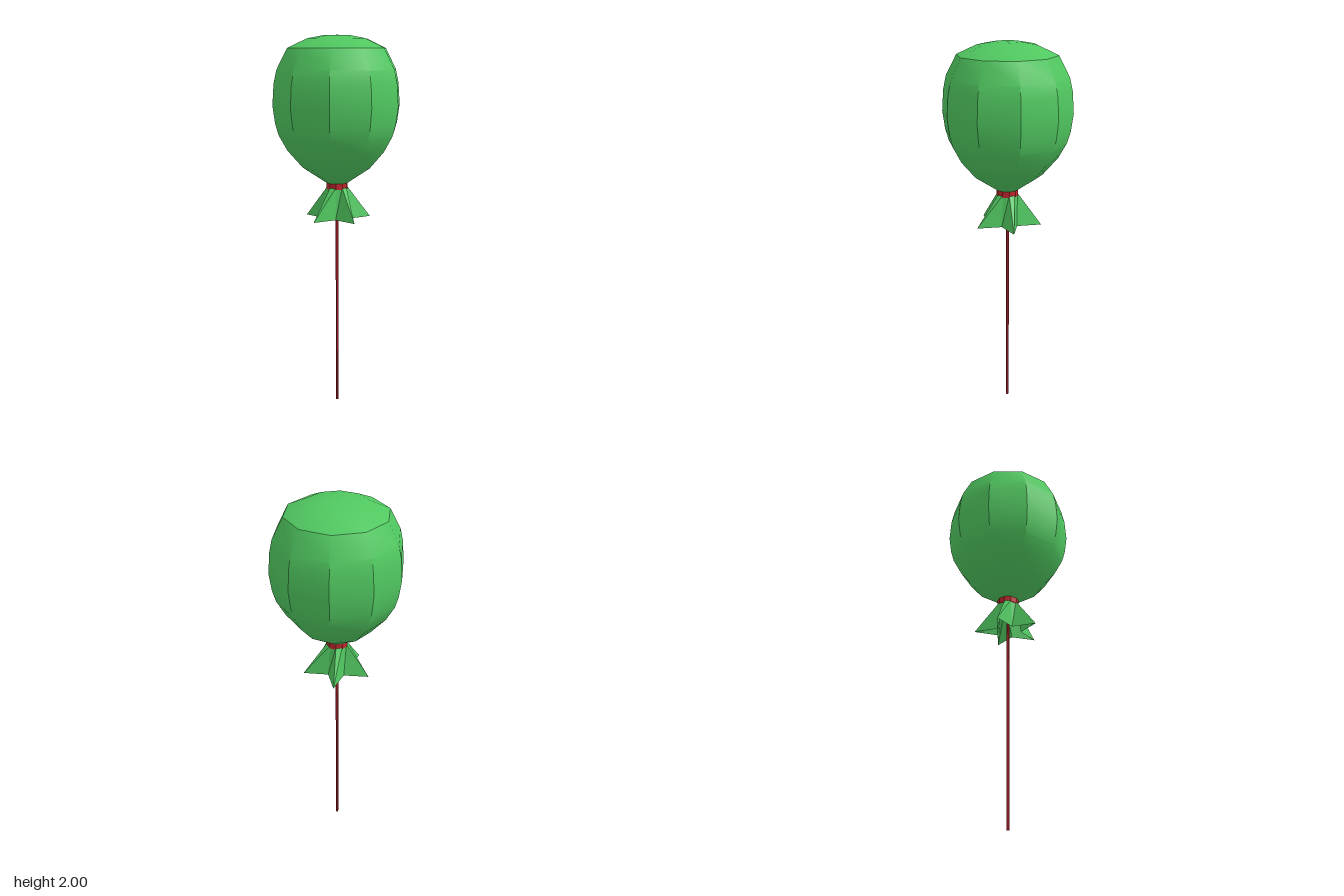
import * as THREE from 'three';
import { toCreasedNormals } from 'three/addons/utils/BufferGeometryUtils.js';

const SIDES = 10;

function addPart(group, name, geometry, material) {
  const mesh = new THREE.Mesh(geometry, material);
  mesh.name = name;
  group.add(mesh);
  return mesh;
}

// Ten-sided balloon, creased only along its steep middle facets
function balloonGeometry() {
  const profile = [
    [0.05, 1.24], [0.184, 1.33], [0.262, 1.42], [0.306, 1.5], [0.323, 1.56],
    [0.335, 1.65], [0.327, 1.76], [0.311, 1.83], [0.256, 1.935],
    [0.155, 1.982], [0.07, 1.998], [0, 2],
  ].map(([r, y]) => new THREE.Vector2(r, y));
  return toCreasedNormals(new THREE.LatheGeometry(profile, SIDES), THREE.MathUtils.degToRad(33.5));
}

// Gathered neck: a round top ring flaring to a five-pointed star, one point at the back
function skirtGeometry() {
  const ring = (i, y, r) => {
    const a = (i / SIDES) * Math.PI * 2;
    return [Math.sin(a) * r, y, Math.cos(a) * r];
  };
  const starRadius = (i) => (i % 2 ? 0.18 : 0.07);
  const positions = [];
  for (let i = 0; i < SIDES; i++) {
    const j = i + 1;
    const topA = ring(i, 1.225, 0.053), topB = ring(j, 1.225, 0.053);
    const lowA = ring(i, 1.055, starRadius(i)), lowB = ring(j, 1.055, starRadius(j));
    positions.push(...lowA, ...lowB, ...topB, ...lowA, ...topB, ...topA);
  }
  const geometry = new THREE.BufferGeometry();
  geometry.setAttribute('position', new THREE.Float32BufferAttribute(positions, 3));
  geometry.computeVertexNormals();
  return geometry;
}

export function createModel() {
  const group = new THREE.Group();
  group.name = 'balloonOnStick';

  const green = new THREE.MeshStandardMaterial({ color: 0x50c860 });
  const greenThin = new THREE.MeshStandardMaterial({ color: 0x50c860, side: THREE.DoubleSide, flatShading: true });
  const red = new THREE.MeshStandardMaterial({ color: 0xc0272d, flatShading: true });

  addPart(group, 'balloon', balloonGeometry(), green);
  addPart(group, 'skirt', skirtGeometry(), greenThin);

  // Tie around the neck
  const tie = addPart(group, 'tie', new THREE.CylinderGeometry(0.057, 0.057, 0.034, SIDES), red);
  tie.position.y = 1.23;

  // Thin stick up into the neck
  const stick = addPart(group, 'stick', new THREE.CylinderGeometry(0.008, 0.008, 1.23, 6), red);
  stick.position.y = 0.615;

  return group;
}
